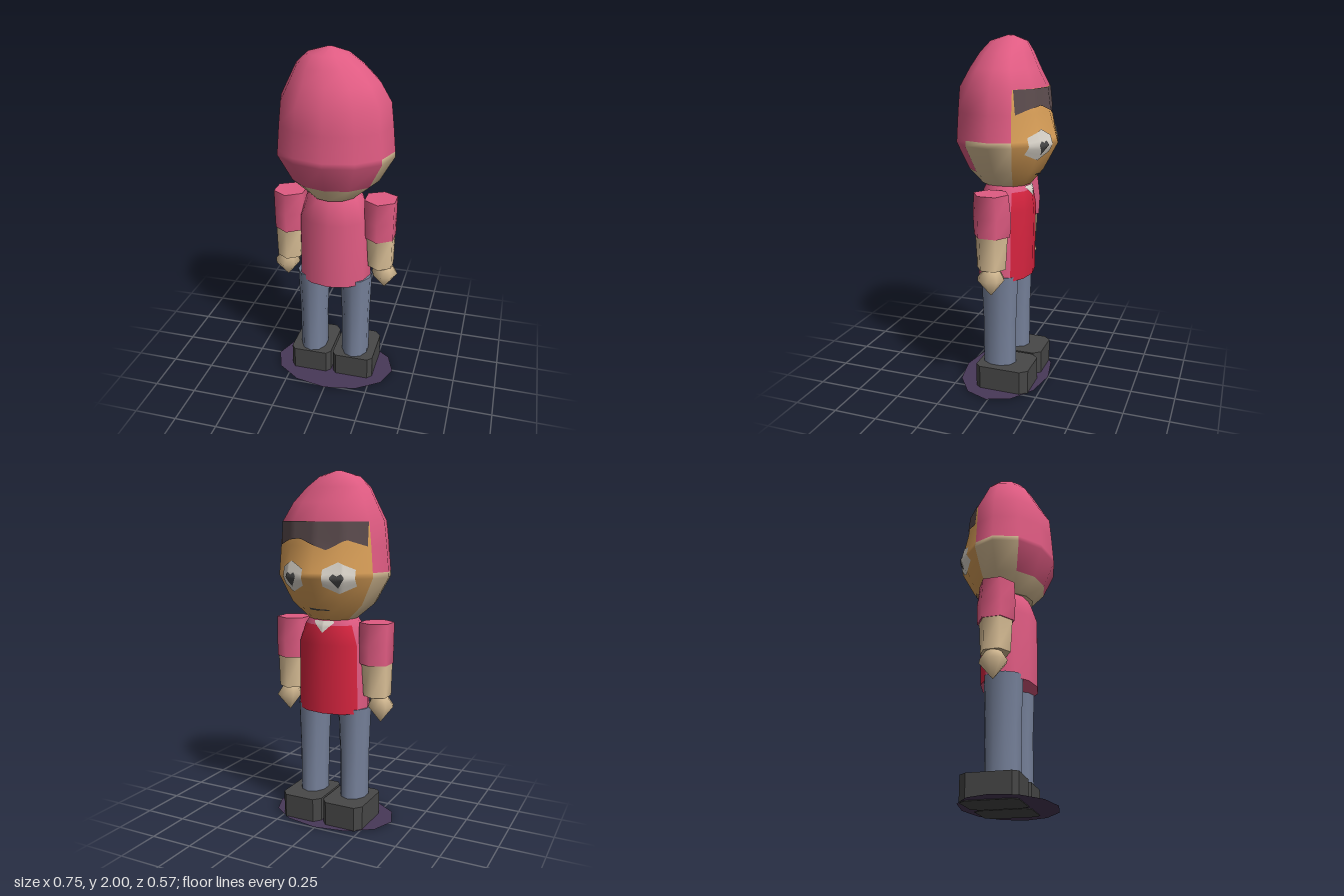
import * as THREE from 'three';

const mat = (name, color, side = THREE.FrontSide) => {
  const m = new THREE.MeshStandardMaterial({ color, side });
  m.name = name;
  return m;
};

// Cross-section point: ring = [y, halfWidth, depth toward -z, depth toward +z, centreX, centreZ, facePower]
function ringPoint([y, rx, zf, zb, cx = 0, cz = 0, p = 1], t) {
  const c = Math.cos(t);
  const z = c > 0 ? zb * c : -zf * Math.pow(-c, p);
  return [cx + rx * Math.sin(t), y, cz + z];
}

// Skin a stack of rings, choosing a material for every cell, and cap both ends
function loft(name, rings, n, mats, pick = () => 0, capMat = [0, 0]) {
  const pos = [];
  const lists = mats.map(() => []);
  const addRing = (r) => {
    const start = pos.length / 3;
    for (let j = 0; j < n; j++) pos.push(...ringPoint(r, (j / n) * Math.PI * 2));
    return start;
  };
  rings.forEach(addRing);
  for (let i = 0; i < rings.length - 1; i++) {
    for (let j = 0; j < n; j++) {
      const a = i * n + j, b = i * n + ((j + 1) % n);
      lists[pick(i, j)].push(a, b, b + n, a, b + n, a + n);
    }
  }
  const bottom = addRing(rings[0]), top = addRing(rings[rings.length - 1]);
  for (let j = 1; j < n - 1; j++) {
    lists[capMat[0]].push(bottom, bottom + j + 1, bottom + j);
    lists[capMat[1]].push(top, top + j, top + j + 1);
  }
  const g = new THREE.BufferGeometry();
  g.setAttribute('position', new THREE.Float32BufferAttribute(pos, 3));
  g.setIndex(lists.flat());
  let at = 0;
  lists.forEach((l, k) => { g.addGroup(at, l.length, k); at += l.length; });
  g.computeVertexNormals();
  const mesh = new THREE.Mesh(g, mats);
  mesh.name = name;
  return mesh;
}

// Depth of the face side of a 12-sided loft at a given x, y
function faceZ(rings, x, y) {
  let i = 0;
  while (i < rings.length - 2 && y > rings[i + 1][0]) i++;
  const f = THREE.MathUtils.clamp((y - rings[i][0]) / (rings[i + 1][0] - rings[i][0]), 0, 1);
  const pts = [];
  for (let j = 3; j <= 9; j++) {
    const t = (j / 12) * Math.PI * 2;
    const a = ringPoint(rings[i], t), b = ringPoint(rings[i + 1], t);
    pts.push([a[0] + (b[0] - a[0]) * f, a[2] + (b[2] - a[2]) * f]);
  }
  for (let j = 0; j < 6; j++) {
    const [x0, z0] = pts[j], [x1, z1] = pts[j + 1];
    if (x <= x0 && x >= x1) return z0 + ((z1 - z0) * (x0 - x)) / (x0 - x1);
  }
  return x > 0 ? pts[0][1] : pts[6][1];
}

// Painted patch hugging the face side, bounded by two polylines [x, y] over the same x range
function patch(name, rings, upper, lower, material, lift) {
  const at = (line, x) => {
    for (let k = 0; k < line.length - 1; k++) {
      const [x0, y0] = line[k], [x1, y1] = line[k + 1];
      if (x <= x1 + 1e-9) return y0 + ((y1 - y0) * (x - x0)) / (x1 - x0);
    }
    return line[line.length - 1][1];
  };
  const nx = 24, ny = 6, pos = [], idx = [];
  const xa = upper[0][0], xb = upper[upper.length - 1][0];
  for (let i = 0; i <= nx; i++) {
    const x = xa + ((xb - xa) * i) / nx, y0 = at(lower, x), y1 = at(upper, x);
    for (let j = 0; j <= ny; j++) {
      const y = y0 + ((y1 - y0) * j) / ny;
      pos.push(x, y, faceZ(rings, x, y) - lift);
      if (i < nx && j < ny) {
        const a = i * (ny + 1) + j, b = a + ny + 1;
        idx.push(a, b + 1, b, a, a + 1, b + 1);
      }
    }
  }
  const g = new THREE.BufferGeometry();
  g.setAttribute('position', new THREE.Float32BufferAttribute(pos, 3));
  g.setIndex(idx);
  g.computeVertexNormals();
  const mesh = new THREE.Mesh(g, material);
  mesh.name = name;
  return mesh;
}

export function createModel() {
  const pink = mat('pink cloth', 0xdf5b82), skin = mat('pale skin', 0xdcc198);
  const face = mat('face skin', 0xd99f58), red = mat('red shirt front', 0xd6243f);
  const hair = mat('dark hair', 0x5c4c4e), white = mat('off white', 0xdcd6cc);
  const dark = mat('charcoal', 0x474747), denim = mat('denim', 0x76819a);
  const purple = mat('purple base', 0x483858, THREE.DoubleSide);
  const model = new THREE.Group();
  model.name = 'figure';

  // Head: hood, pale sides and face share one surface
  const head = [
    [1.19, 0.14, 0.13, 0.15, 0, 0, 1],
    [1.28, 0.25, 0.205, 0.22, 0, 0, 1.15],
    [1.43, 0.335, 0.285, 0.285, 0, 0, 1.3],
    [1.46, 0.333, 0.276, 0.283, 0, 0, 1.3],
    [1.6, 0.32, 0.235, 0.275, 0, 0, 1.1],
    [1.73, 0.305, 0.218, 0.265],
    [1.83, 0.25, 0.165, 0.21, -0.005],
    [1.91, 0.19, 0.125, 0.165, -0.025],
    [1.97, 0.115, 0.09, 0.115, -0.035],
    [2.0, 0.015, 0.015, 0.02, -0.03],
  ];
  const front = (j) => j >= 4 && j <= 7;
  const back = (j) => j < 2 || j > 9;
  model.add(loft('head', head, 12, [pink, skin, face], (i, j) => {
    if (front(j) && i < 5) return 2;
    if (i === 0 || (i < 3 && !back(j))) return 1;
    return 0;
  }, [1, 0]));

  // Fringe, eyes, brows and mouth
  model.add(patch('fringe', head, [[-0.264, 1.73], [0.264, 1.73]],
    [[-0.264, 1.6], [-0.17, 1.635], [-0.07, 1.58], [0.1, 1.64], [0.18, 1.63], [0.264, 1.6]], hair, 0.006));
  for (const s of [-1, 1]) {
    const line = (cx, cy, pts) => pts.map(([x, y]) => [s * cx + x, cy + y]);
    model.add(patch('eye', head,
      line(0.14, 1.435, [[-0.08, 0.045], [0, 0.085], [0.08, 0.045]]),
      line(0.14, 1.435, [[-0.08, -0.045], [0, -0.085], [0.08, -0.045]]), white, 0.005));
    model.add(patch('pupil', head,
      line(0.14, 1.425, [[-0.036, 0.015], [-0.022, 0.034], [0, 0.022], [0.022, 0.034], [0.036, 0.015]]),
      line(0.14, 1.425, [[-0.036, 0.005], [0, -0.045], [0.036, 0.005]]), dark, 0.009));
  }
  model.add(patch('mouth', head, [[-0.06, 1.256], [0.06, 1.262]], [[-0.06, 1.25], [0.06, 1.25]], dark, 0.005));

  // Torso with a red front panel and collar
  const torso = [
    [0.655, 0.215, 0.145, 0.17],
    [1.05, 0.208, 0.15, 0.175],
    [1.16, 0.168, 0.135, 0.14],
    [1.2, 0.14, 0.115, 0.12],
  ];
  model.add(loft('torso', torso, 12, [pink, red], (i, j) => (front(j) && i < 2 ? 1 : 0)));
  model.add(patch('collar', torso, [[-0.06, 1.185], [0.06, 1.185]],
    [[-0.06, 1.175], [0, 1.12], [0.06, 1.175]], white, 0.006));

  // Shoe outline with chamfered corners, extruded upward
  const sole = new THREE.Shape([
    [-0.125, -0.09], [-0.1, -0.12], [0.1, -0.12], [0.125, -0.09],
    [0.125, 0.15], [0.09, 0.192], [-0.09, 0.192], [-0.125, 0.15],
  ].map(([x, y]) => new THREE.Vector2(x, y)));
  const shoeGeometry = new THREE.ExtrudeGeometry(sole, { depth: 0.14, bevelEnabled: false }).rotateX(-Math.PI / 2);

  for (const s of [-1, 1]) {
    const side = s > 0 ? 'left' : 'right';
    const x = 0.265 * s;
    // Arm
    model.add(loft(side + 'Sleeve', [
      [0.945, 0.095, 0.1, 0.11, x, 0, 1], [1.05, 0.096, 0.105, 0.115, x],
      [1.178, 0.098, 0.09, 0.11, x],
    ], 6, [pink]));
    model.add(loft(side + 'Forearm', [
      [0.76, 0.078, 0.078, 0.09, x + 0.009 * s], [0.95, 0.086, 0.088, 0.1, x + 0.005 * s],
    ], 6, [skin]));
    model.add(loft(side + 'Hand', [
      [0.61, 0.003, 0.003, 0.003, 0.297 * s], [0.705, 0.076, 0.078, 0.08, 0.297 * s],
      [0.77, 0.04, 0.04, 0.04, 0.29 * s],
    ], 8, [skin]));
    // Leg
    model.add(loft(side + 'Leg', [
      [0.13, 0.081, 0.1, 0.1, 0.131 * s, 0.01], [0.4, 0.083, 0.1, 0.1, 0.131 * s, 0.01],
      [0.68, 0.094, 0.11, 0.112, 0.129 * s, 0.01],
    ], 10, [denim]));
    // Shoe
    const shoe = new THREE.Mesh(shoeGeometry, dark);
    shoe.name = side + 'Shoe';
    shoe.position.x = 0.131 * s;
    model.add(shoe);
  }

  // Flat twelve-sided base
  const base = new THREE.Mesh(new THREE.CircleGeometry(1, 12).rotateX(-Math.PI / 2), purple);
  base.name = 'base';
  base.scale.set(0.37, 1, 0.26);
  base.position.set(0, 0.004, 0.01);
  model.add(base);

  return model;
}
